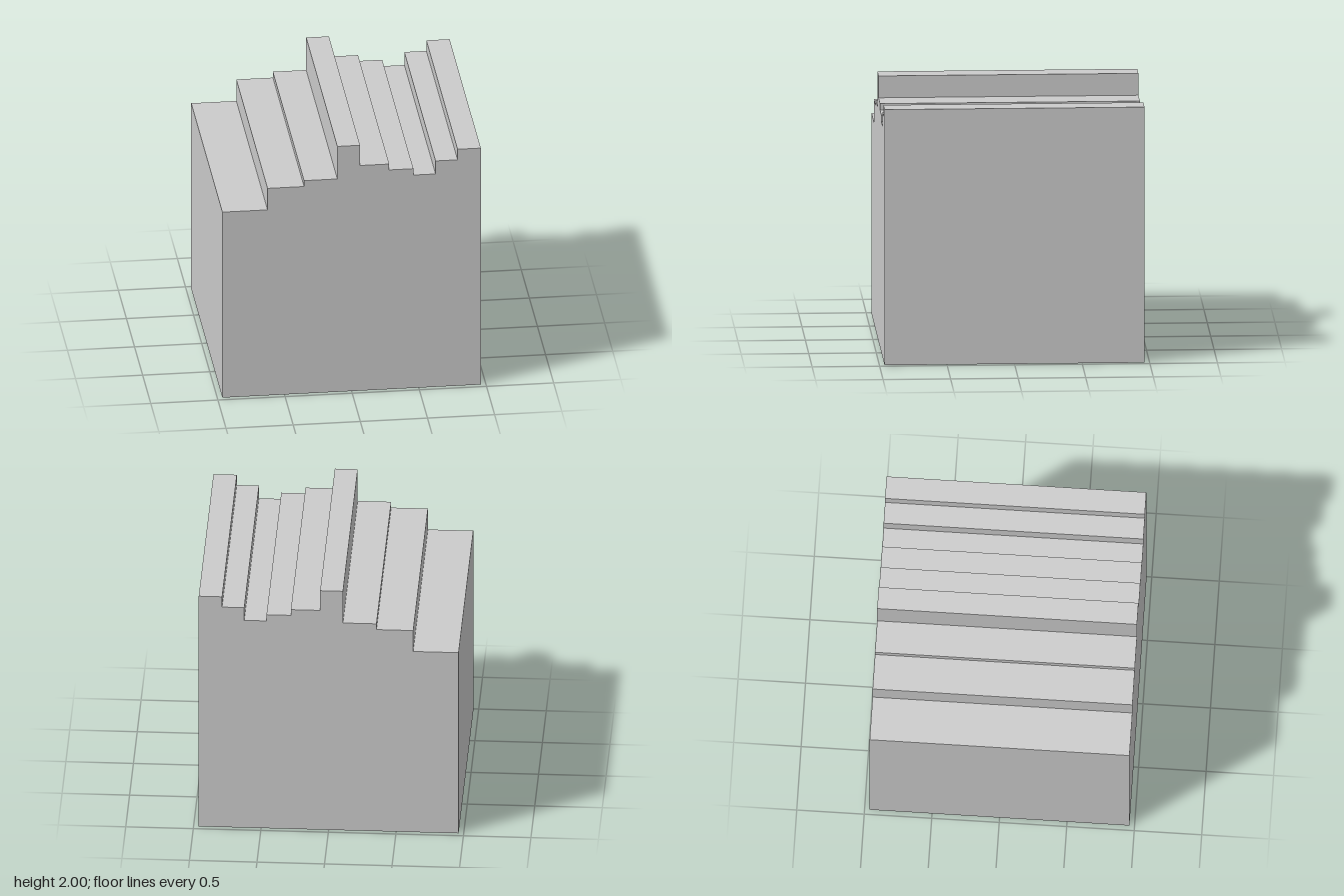
import * as THREE from 'three';

const HALF = 0.962; // half width and half depth

// Each step: [right-hand x edge, height], from -x to +x
const STEPS = [
  [-0.626, 1.512], [-0.354, 1.687], [-0.106, 1.735],
  [0.063, 2], [0.28, 1.835], [0.46, 1.787],
  [0.625, 1.735], [0.789, 1.841], [HALF, 1.927],
];

export function createModel() {
  const group = new THREE.Group();
  group.name = 'steppedBlock';

  // Stepped outline, counter-clockwise from the bottom corners
  const outline = new THREE.Shape();
  outline.moveTo(-HALF, 0);
  outline.lineTo(HALF, 0);
  for (let i = STEPS.length - 1; i >= 0; i--) {
    const [right, height] = STEPS[i];
    const left = i > 0 ? STEPS[i - 1][0] : -HALF;
    outline.lineTo(right, height);
    outline.lineTo(left, height);
  }
  outline.closePath();

  // One solid block with the ridges running front to back
  const geometry = new THREE.ExtrudeGeometry(outline, { depth: 2 * HALF, bevelEnabled: false });
  geometry.translate(0, 0, -HALF);
  const block = new THREE.Mesh(
    geometry,
    new THREE.MeshStandardMaterial({ color: 0xcccccc, flatShading: true }),
  );
  block.name = 'ridgedBlock';
  group.add(block);
  return group;
}
